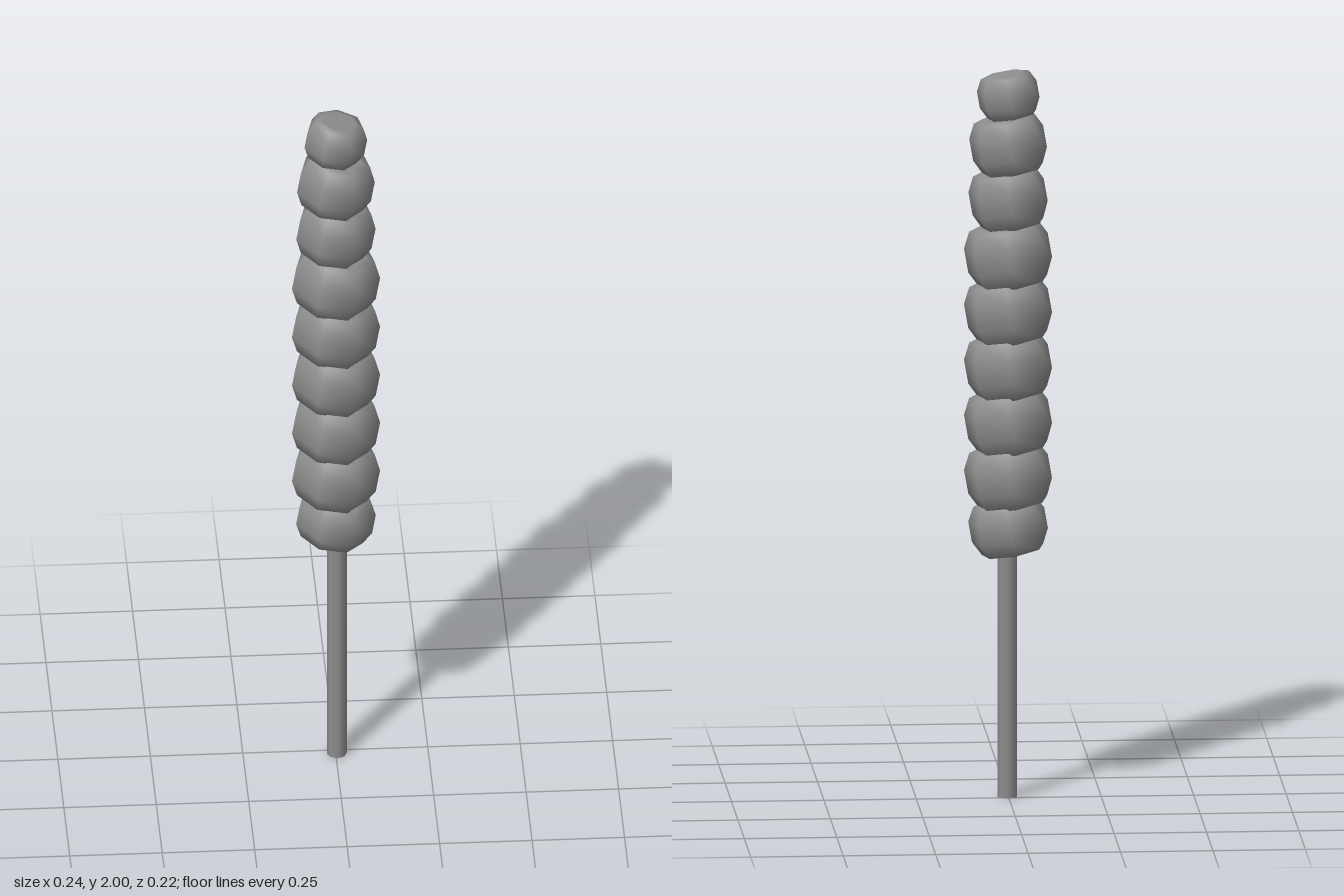
import * as THREE from 'three';

const material = new THREE.MeshStandardMaterial({ color: 0x8e8e8e });

// Bead outline as [fraction of radius, fraction of half height], bottom to top;
// the doubled points keep the rims of the flat ends crisp
const outline = [
  [0, -1], [0.59, -1], [0.59, -1], [0.81, -0.93], [1, -0.4],
  [1, 0.4], [0.81, 0.93], [0.59, 1], [0.59, 1], [0, 1],
];

// Beads from top to bottom: [centre height, radius, half height]
const beads = [
  [1.933, 0.084, 0.059],
  [1.798, 0.104, 0.076],
  [1.65, 0.106, 0.079],
  [1.495, 0.118, 0.084],
  [1.342, 0.118, 0.084],
  [1.189, 0.118, 0.084],
  [1.037, 0.118, 0.084],
  [0.886, 0.118, 0.083],
  [0.746, 0.107, 0.072],
];

// Seven-sided rounded bead, leaning towards +x, with a corner at the back
function makeBead([y, radius, halfHeight]) {
  const points = outline.map(([r, h]) => new THREE.Vector2(r * radius, h * halfHeight));
  const bead = new THREE.Mesh(new THREE.LatheGeometry(points, 7, Math.PI), material);
  bead.position.set(0, y, 0.004);
  bead.rotation.z = -0.175;
  return bead;
}

export function createModel() {
  const model = new THREE.Group();
  model.name = 'beadedSkewer';

  // Stack of beads
  const stack = new THREE.Group();
  stack.name = 'beadStack';
  beads.forEach((spec, i) => {
    const bead = makeBead(spec);
    bead.name = `bead${i + 1}`;
    stack.add(bead);
  });
  model.add(stack);

  // Stick, ending inside the lowest bead
  const stick = new THREE.Mesh(new THREE.CylinderGeometry(0.027, 0.027, 0.74, 8), material);
  stick.name = 'stick';
  stick.position.set(0.003, 0.37, 0.016);
  model.add(stick);

  return model;
}
